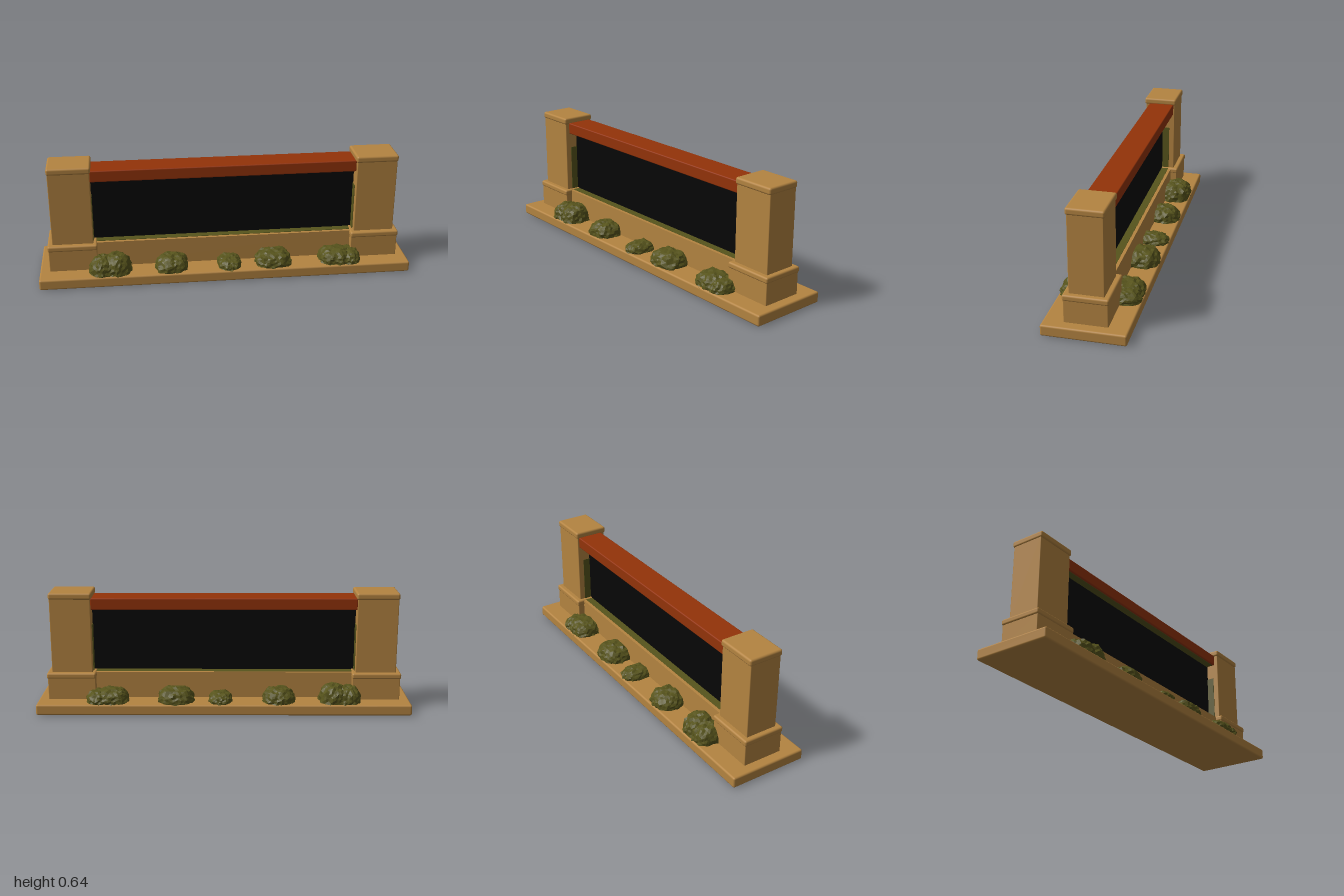
import * as THREE from 'three';
import { RoundedBoxGeometry } from 'three/addons/geometries/RoundedBoxGeometry.js';

const material = (name, color) => {
  const m = new THREE.MeshStandardMaterial({ color });
  m.name = name;
  return m;
};

export function createModel() {
  const model = new THREE.Group();
  model.name = 'gardenSign';
  const stone = material('tan stone', 0xb48441);
  const rust = material('rust red', 0x933309);
  const black = material('black panel', 0x060606);
  const leaf = material('olive leaf', 0x57541c);
  leaf.flatShading = true;

  // Box given by its extents, with optional rounded edges
  const box = (name, mat, [x0, x1], [y0, y1], [z0, z1], r = 0, parent = model) => {
    const size = [x1 - x0, y1 - y0, z1 - z0];
    const geo = r ? new RoundedBoxGeometry(...size, 3, r) : new THREE.BoxGeometry(...size);
    const mesh = new THREE.Mesh(geo, mat);
    mesh.position.set((x0 + x1) / 2, (y0 + y1) / 2, (z0 + z1) / 2);
    mesh.name = name;
    parent.add(mesh);
  };

  // Base slab and low wall between the pillars
  box('baseSlab', stone, [-1, 1], [0, 0.058], [-0.21, 0.21], 0.01);
  box('lowWall', stone, [-0.7, 0.7], [0.056, 0.2], [-0.073, 0.073]);

  // Thin dark panel with the beam over it
  box('panel', black, [-0.71, 0.71], [0.199, 0.547], [-0.016, 0.016]);
  box('topBeam', rust, [-0.71, 0.71], [0.545, 0.608], [-0.079, 0.066], 0.006);

  // Mossy strips on the ledge and under the beam, both sides of the panel
  for (const s of [1, -1]) {
    const z = s > 0 ? [0.016, 0.056] : [-0.056, -0.016];
    box('ledgeMoss', leaf, [-0.7, 0.7], [0.198, 0.202], z);
    box('beamMoss', leaf, [-0.7, 0.7], [0.543, 0.547], z);
  }

  // Pillars on capped plinths
  for (const s of [1, -1]) {
    const pillar = new THREE.Group();
    pillar.name = s > 0 ? 'leftPillar' : 'rightPillar';
    const span = (a, b) => (s > 0 ? [a, b] : [-b, -a]);
    box('plinth', stone, span(0.69, 0.947), [0.054, 0.18], [-0.109, 0.109], 0.004, pillar);
    box('plinthCap', stone, span(0.688, 0.952), [0.172, 0.204], [-0.114, 0.114], 0.01, pillar);
    box('shaft', stone, span(0.708, 0.926), [0.2, 0.615], [-0.087, 0.087], 0.004, pillar);
    box('shaftCap', stone, span(0.702, 0.93), [0.602, 0.638], [-0.094, 0.094], 0.011, pillar);
    // Moss on the inner faces beside the panel
    for (const z of [[0.016, 0.056], [-0.056, -0.016]]) {
      box('mossEdge', leaf, span(0.705, 0.709), [0.2, 0.46], z, 0, pillar);
    }
    model.add(pillar);
  }

  // Leafy dome: a squared-off ball roughened by position-based noise
  const noise = (x, y, z, seed) => {
    const v = Math.sin(x * 127.1 + y * 311.7 + z * 74.7 + seed * 19.3) * 43758.5453;
    return v - Math.floor(v);
  };
  const bush = (x, width, height, side, seed) => {
    const geo = new THREE.IcosahedronGeometry(1, 6);
    const pos = geo.attributes.position;
    const p = new THREE.Vector3();
    for (let i = 0; i < pos.count; i++) {
      p.fromBufferAttribute(pos, i);
      const [a, b, c] = p.toArray().map((v) => Math.round(v * 1000) / 1000);
      const square = Math.pow(Math.abs(a) ** 2.6 + Math.abs(b) ** 2.6 + Math.abs(c) ** 2.6, -1 / 2.6);
      const lumps = 0.05 * Math.sin(a * 7 + seed) * Math.sin(b * 6 + c * 7);
      p.multiplyScalar(square * (0.91 + 0.1 * noise(a, b, c, seed) + lumps));
      pos.setXYZ(i, p.x * width / 2, Math.max(p.y, -0.05) * height, p.z * 0.09);
    }
    geo.computeVertexNormals();
    const mesh = new THREE.Mesh(geo, leaf);
    mesh.position.set(x, 0.058, side * 0.118);
    mesh.name = 'bush';
    model.add(mesh);
  };

  // Centre, width and height of each bush, repeated front and back
  const bushes = [
    [-0.59, 0.16, 0.094], [-0.665, 0.145, 0.084], [-0.295, 0.18, 0.075], [0.018, 0.13, 0.049],
    [0.258, 0.2, 0.076], [0.6, 0.185, 0.07], [0.675, 0.13, 0.06],
  ];
  for (const side of [1, -1]) bushes.forEach(([x, w, h], i) => bush(x, w, h, side, i + 1));

  return model;
}
